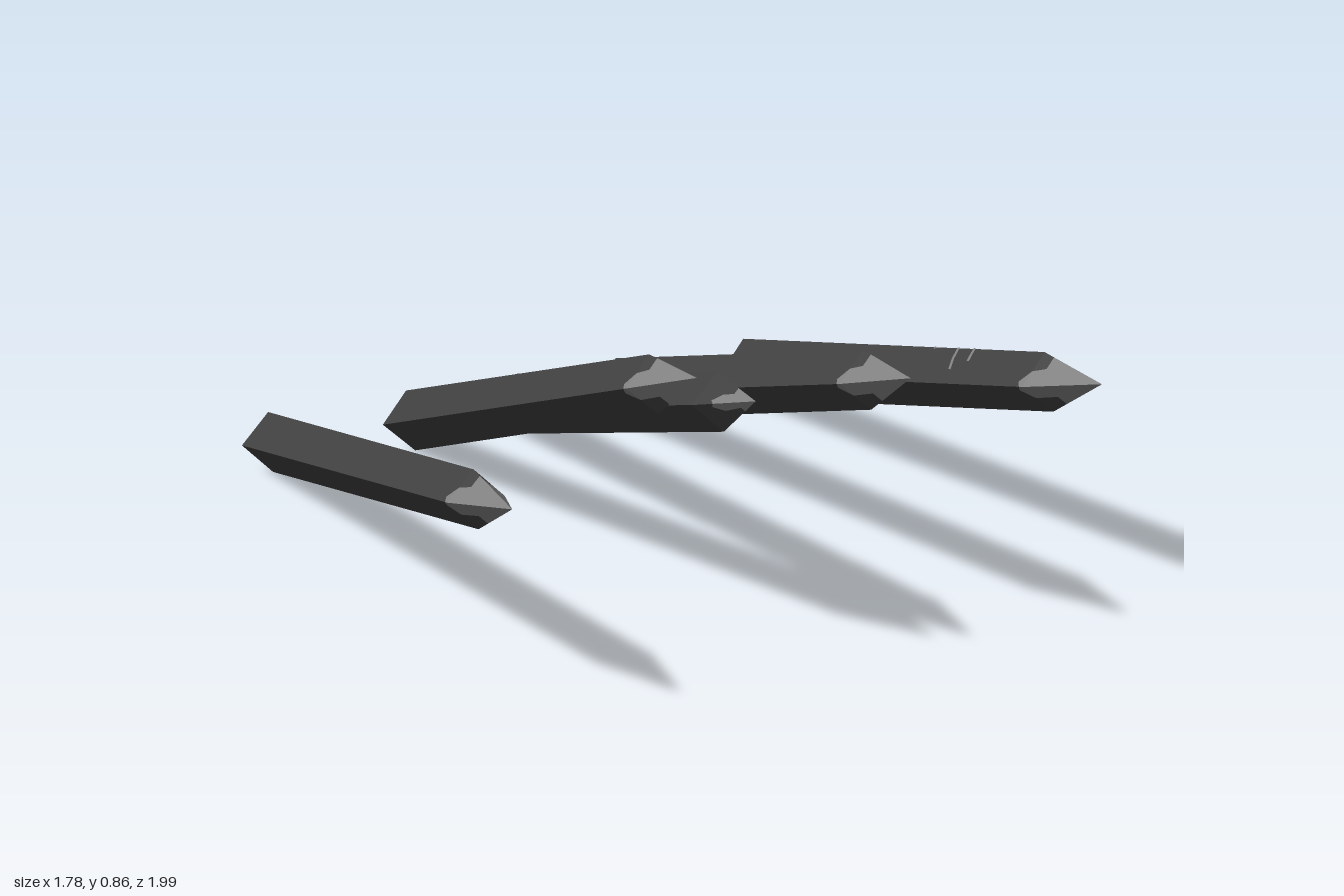
import * as THREE from 'three';

const R = 0.0785;        // half diagonal of the square section
const LENGTH = 2.035;
const SHOULDER = 1.73;   // where the taper starts

// Point on the stake's surface: u runs 0-4 around the square (right, top, left, bottom), s along it
function surfacePoint(u, s, lift = 0) {
  const corners = [[1, 0], [0, 1], [-1, 0], [0, -1]];
  const i = Math.floor(u) % 4, f = u - Math.floor(u);
  const a = corners[i], b = corners[(i + 1) % 4];
  const taper = s <= SHOULDER ? 1 : Math.max(0, (LENGTH - s) / (LENGTH - SHOULDER));
  const r = R * taper + lift;
  return new THREE.Vector3((a[0] + (b[0] - a[0]) * f) * r, (a[1] + (b[1] - a[1]) * f) * r, s);
}

// Flat-faced geometry from a list of triangles, dropping empty ones
function fromTriangles(tris) {
  const pts = tris.filter(([a, b, c]) => new THREE.Triangle(a, b, c).getArea() > 1e-8).flat();
  const g = new THREE.BufferGeometry().setFromPoints(pts);
  g.computeVertexNormals();
  return g;
}

// Skin between neighbouring columns; each column is { u, stops along s }
function skin(columns, lift = 0) {
  const tris = [];
  for (let c = 0; c < columns.length - 1; c++) {
    const A = columns[c], B = columns[c + 1];
    for (let k = 0; k < A.stops.length - 1; k++) {
      const p = surfacePoint(A.u, A.stops[k], lift), q = surfacePoint(B.u, B.stops[k], lift);
      const r = surfacePoint(B.u, B.stops[k + 1], lift), t = surfacePoint(A.u, A.stops[k + 1], lift);
      tris.push([p, q, r], [p, r, t]);
    }
  }
  return tris;
}

// Jagged edge between dark shaft and pale tip: [distance from side corner, offset from shoulder]
function cutLine(extra) {
  const profile = [[0, -0.02], [0.15, -0.04], [0.45, 0], [0.6, 0.05], [1, 0.05]];
  const line = [];
  for (let face = 0; face < 4; face++) {
    const pts = face % 2 ? [...profile].reverse() : profile;
    pts.forEach(([d, o]) => {
      const u = face + (face % 2 ? 1 - d : d);
      const offset = o > 0 && face >= 2 ? o + 0.035 : o;
      if (!line.length || u > line[line.length - 1].u + 1e-6) line.push({ u, cut: SHOULDER + offset + extra });
    });
  }
  return line;
}

export function createModel() {
  const wood = new THREE.MeshStandardMaterial({ color: 0x404040 });
  wood.name = 'charred wood';
  const pale = new THREE.MeshStandardMaterial({ color: 0x808080 });
  pale.name = 'pale carved wood';
  const group = new THREE.Group();
  group.name = 'stakes';

  function addMesh(parent, name, tris, material) {
    const mesh = new THREE.Mesh(fromTriangles(tris), material);
    mesh.name = name;
    parent.add(mesh);
  }

  function makeStake({ base, tip, cut = 0, marked = false }, index) {
    const stake = new THREE.Group();
    stake.name = `stake${index + 1}`;
    const line = cutLine(cut);

    // Shaft with its square butt end
    const shaft = skin(line.map(({ u, cut: c }) => ({ u, stops: [0, Math.min(c, SHOULDER), c] })));
    const [right, top, left, bottom] = [0, 1, 2, 3].map((u) => surfacePoint(u, 0));
    shaft.push([right, bottom, left], [right, left, top]);
    addMesh(stake, 'shaft', shaft, wood);

    // Sharpened tip
    addMesh(stake, 'tip', skin(line.map(({ u, cut: c }) => ({ u, stops: [c, Math.max(c, SHOULDER), LENGTH] }))), pale);

    // Notches scratched across the upper ridge: position, half width, bow, thickness
    if (marked) {
      const notches = [[1.105, 0.06, 0, 0.01], [1.238, 0.6, 0.025, 0.013], [1.33, 0.36, 0.006, 0.013]];
      notches.forEach(([s, w, bow, thick], n) => {
        const columns = [-1, -0.5, 0, 0.5, 1].map((k) => {
          const at = s + bow * k * k;
          return { u: 1 + k * w, stops: [at - thick / 2, at + thick / 2] };
        });
        addMesh(stake, `notch${n + 1}`, skin(columns, 0.002), pale);
      });
    }

    stake.position.set(base, 0.077, -0.97);
    stake.lookAt(...tip);
    group.add(stake);
  }

  // Row of five leaning stakes
  [
    { base: -0.675, tip: [-0.835, 0.605, 0.99] },
    { base: -0.28, tip: [-0.28, 0.86, 0.915] },
    { base: 0.03, tip: [-0.125, 0.78, 0.94], cut: 0.12, marked: true },
    { base: 0.31, tip: [0.31, 0.78, 0.945] },
    { base: 0.67, tip: [0.84, 0.69, 0.965], marked: true },
  ].forEach(makeStake);

  return group;
}
